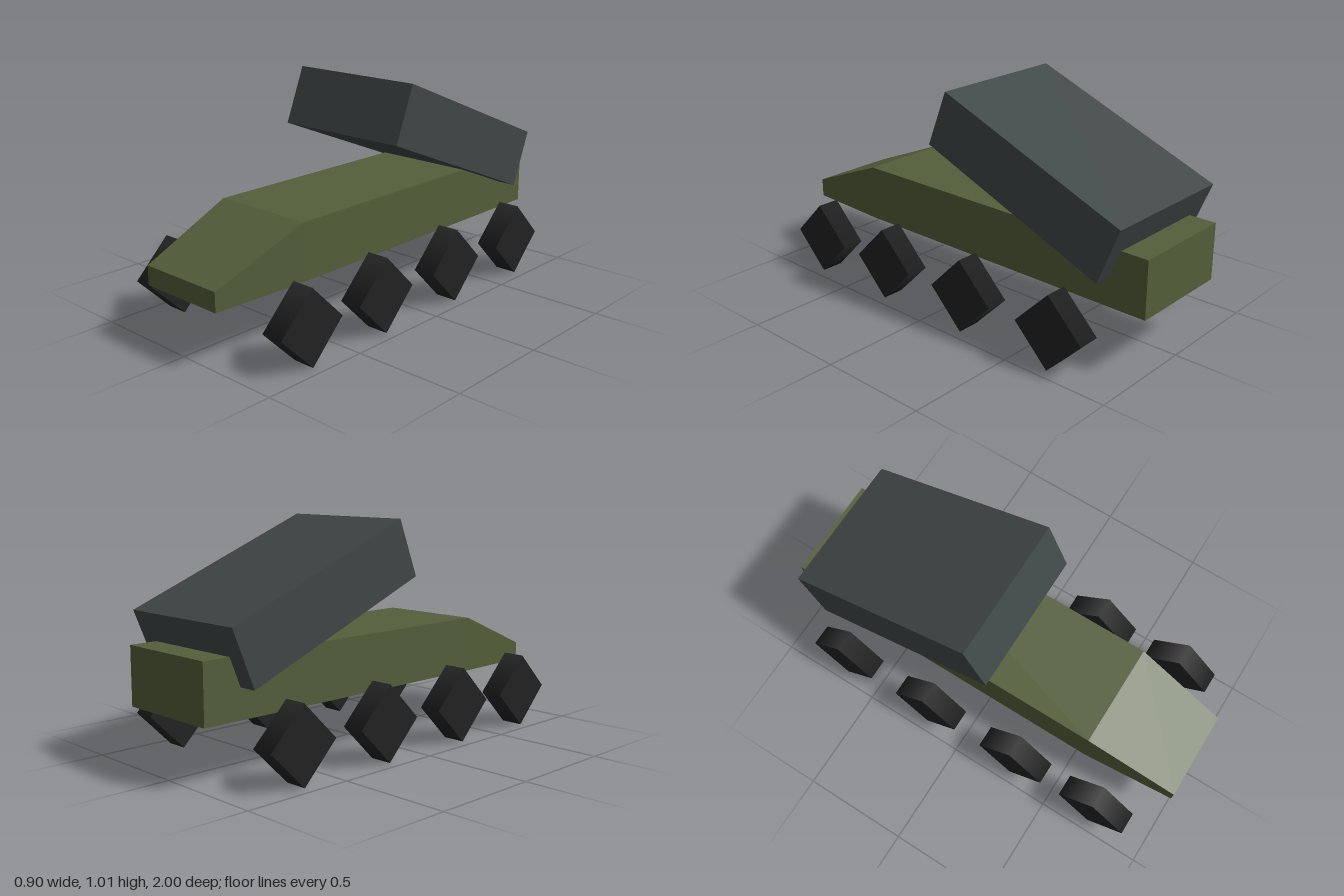
import * as THREE from 'three';

const olive = new THREE.MeshStandardMaterial({ color: 0x545e3a });
olive.name = 'olive';
const slate = new THREE.MeshStandardMaterial({ color: 0x404747 });
slate.name = 'slate';
const rubber = new THREE.MeshStandardMaterial({ color: 0x222222 });
rubber.name = 'rubber';

// Lofts rectangular sections [z, halfWidth, bottom, top], ordered back to front
function loftSections(sections) {
  const points = [];
  const quad = (a, b, c, d) => points.push(...a, ...b, ...c, ...a, ...c, ...d);
  const rings = sections.map(([z, w, y0, y1]) => [[-w, y0, z], [w, y0, z], [w, y1, z], [-w, y1, z]]);
  for (let i = 0; i < rings.length - 1; i++) {
    const back = rings[i], front = rings[i + 1];
    for (let k = 0; k < 4; k++) {
      const n = (k + 1) % 4;
      quad(back[k], back[n], front[n], front[k]);
    }
  }
  const first = rings[0], last = rings[rings.length - 1];
  quad(first[3], first[2], first[1], first[0]);
  quad(last[0], last[1], last[2], last[3]);
  const geometry = new THREE.BufferGeometry();
  geometry.setAttribute('position', new THREE.Float32BufferAttribute(points, 3));
  geometry.computeVertexNormals();
  return geometry;
}

export function createModel() {
  const model = new THREE.Group();
  model.name = 'launcherTruck';

  // Hull with a sloped, tapering nose
  const hull = new THREE.Mesh(loftSections([
    [-1, 0.246, 0.258, 0.515],
    [0.56, 0.246, 0.258, 0.515],
    [1, 0.21, 0.25, 0.337],
  ]), olive);
  hull.name = 'hull';
  model.add(hull);

  // Launcher box tilted up towards the front
  const launcher = new THREE.Mesh(new THREE.BoxGeometry(0.664, 0.273, 0.981), slate);
  launcher.name = 'launcherBox';
  launcher.position.set(0, 0.7, -0.42);
  launcher.rotation.x = -0.384;
  model.add(launcher);

  // Four pairs of four-sided wheels
  const wheelGeometry = new THREE.CylinderGeometry(0.169, 0.169, 0.104, 4).rotateZ(Math.PI / 2);
  for (const z of [0.72, 0.28, -0.2, -0.68]) {
    for (const side of [-1, 1]) {
      const wheel = new THREE.Mesh(wheelGeometry, rubber);
      wheel.name = side > 0 ? 'leftWheel' : 'rightWheel';
      wheel.position.set(side * 0.4, 0.169, z);
      model.add(wheel);
    }
  }
  return model;
}
